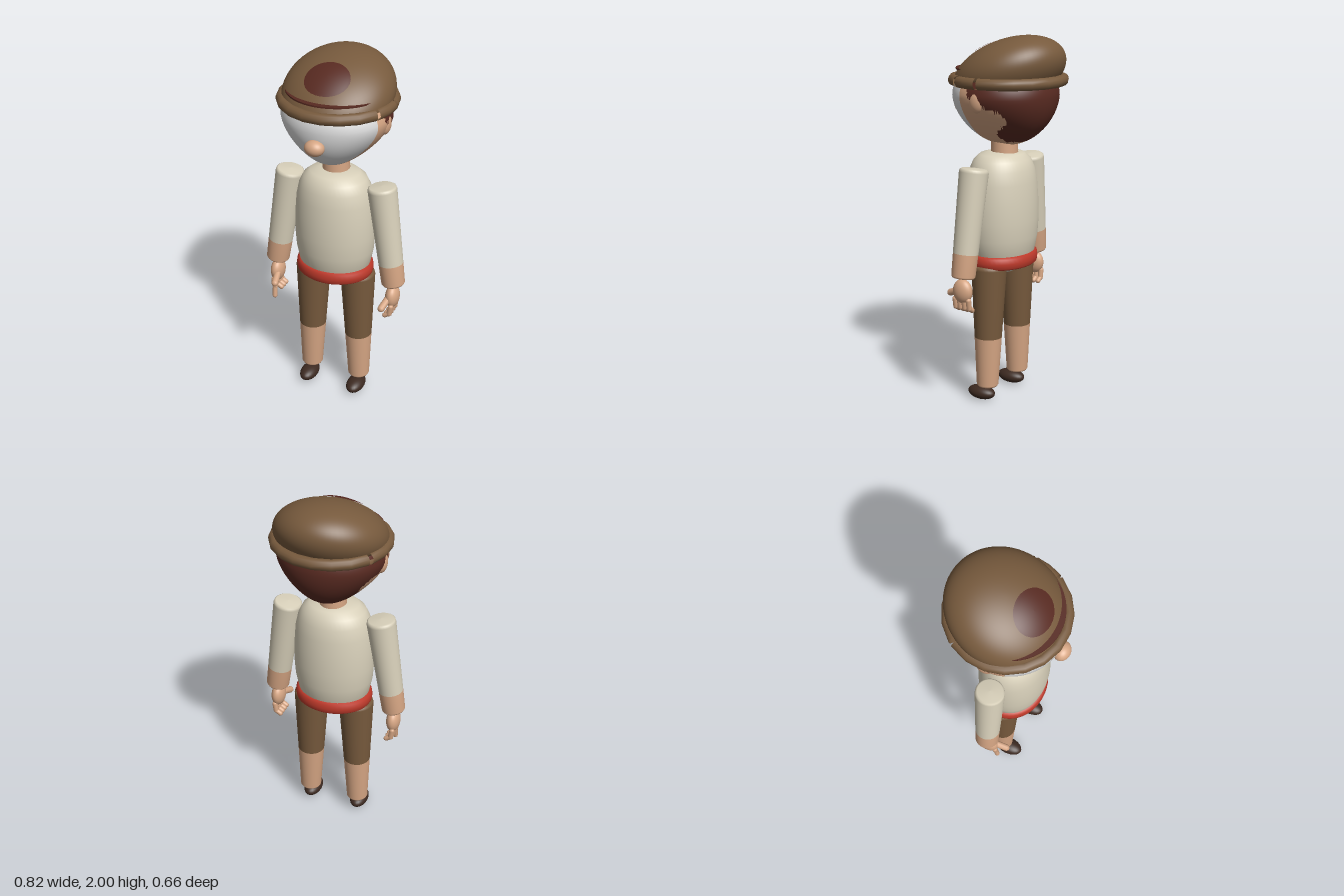
import * as THREE from 'three';
import { mergeVertices } from 'three/addons/utils/BufferGeometryUtils.js';

const mat = (name, color) => Object.assign(new THREE.MeshStandardMaterial({ color }), { name });
const V = (x, y, z) => new THREE.Vector3(x, y, z);

export function createModel() {
  const model = new THREE.Group();
  model.name = 'capWearer';
  const brown = mat('brownCloth', 0x775a3d);
  brown.side = THREE.DoubleSide;
  const skin = mat('skin', 0xd6a684);
  const cream = mat('creamShirt', 0xd8d0ba);
  const white = mat('whiteFace', 0xdcdcdc);
  const hair = mat('darkRedHair', 0x582a21);
  const red = mat('redBelt', 0xbf3a2b);
  const shoe = mat('darkShoe', 0x3d2a21);

  const add = (name, geo, material, parent = model) => {
    const m = new THREE.Mesh(geo, material);
    m.name = name;
    parent.add(m);
    return m;
  };
  const ball = (name, c, r, material, parent) => {
    const m = add(name, new THREE.SphereGeometry(1, 28, 20), material, parent);
    m.position.copy(c);
    m.scale.copy(r);
    return m;
  };
  // Places a y-aligned geometry midway between two points
  const span = (m, a, b) => {
    m.position.copy(a).lerp(b, 0.5);
    m.quaternion.setFromUnitVectors(V(0, 1, 0), b.clone().sub(a).normalize());
    return m;
  };
  const finger = (name, a, b, r, parent) =>
    span(add(name, new THREE.CapsuleGeometry(r, a.distanceTo(b), 5, 10), skin, parent), a, b);
  // Tapered limb in two colours, divided at fraction t from the top
  const limb = (names, top, end, rTop, rEnd, t, mats, parent) => {
    const cut = top.clone().lerp(end, t), rCut = THREE.MathUtils.lerp(rTop, rEnd, t);
    const h1 = top.distanceTo(cut) / 2, h2 = cut.distanceTo(end) / 2;
    const upper = [[rCut, -h1], [rTop, h1 - 0.02], [rTop * 0.96, h1 - 0.006], [rTop * 0.85, h1], [0, h1 + 0.004]];
    const lower = [[0, -h2], [rEnd * 0.9, -h2], [rEnd, -h2 + 0.01], [rCut, h2]];
    const lathe = (p) => new THREE.LatheGeometry(p.map(([x, y]) => new THREE.Vector2(x, y)), 32);
    span(add(names[0], lathe(upper), mats[0], parent), cut, top);
    span(add(names[1], lathe(lower), mats[1], parent), end, cut);
  };
  // Sphere whose points are moved by a rule, welded for smooth normals
  const warped = (geo, rule) => {
    geo.deleteAttribute('uv');
    geo.deleteAttribute('normal');
    const p = geo.attributes.position;
    for (let i = 0; i < p.count; i++) p.setXYZ(i, ...rule(p.getX(i), p.getY(i), p.getZ(i)));
    const g = mergeVertices(geo, 1e-5);
    g.computeVertexNormals();
    return g;
  };

  // Head: poles face front and back, jaw narrows in width only
  const headGeo = warped(new THREE.SphereGeometry(1, 64, 80).rotateX(Math.PI / 2), (x, y, z) => {
    const s = Math.max(0, -y);
    return [0.29 * x * (1 - 0.38 * s ** 1.3), 1.685 + (y > 0 ? 0.2 : 0.267) * y, 0.28 * z];
  });
  // Hairline as [height, depth]
  const hairline = [[1.447, -0.06], [1.485, -0.04], [1.517, -0.065], [1.555, -0.125], [1.58, -0.14],
    [1.62, -0.12], [1.64, -0.06], [1.7, 0.05], [2, 0.06]];
  const hairDepth = (y) => {
    const k = hairline.findIndex(([h]) => h > y);
    if (k < 1) return -1;
    const [a, b] = [hairline[k - 1], hairline[k]];
    return a[1] + (b[1] - a[1]) * (y - a[0]) / (b[0] - a[0]);
  };
  const faces = [[], [], []], pos = headGeo.attributes.position, idx = headGeo.index.array;
  for (let i = 0; i < idx.length; i += 3) {
    const t = [idx[i], idx[i + 1], idx[i + 2]];
    const y = t.reduce((s, v) => s + pos.getY(v), 0) / 3;
    const z = t.reduce((s, v) => s + pos.getZ(v), 0) / 3;
    faces[z > 0.107 ? 0 : z < hairDepth(y) ? 2 : 1].push(...t);
  }
  headGeo.setIndex(faces.flat());
  let start = 0;
  faces.forEach((f, i) => { headGeo.addGroup(start, f.length, i); start += f.length; });
  add('head', headGeo, [white, skin, hair]);
  ball('nose', V(0, 1.61, 0.283), V(0.053, 0.042, 0.044), skin);
  for (const s of [-1, 1]) ball('ear', V(s * 0.264, 1.675, 0), V(0.03, 0.06, 0.046), skin);
  const neck = add('neck', new THREE.CylinderGeometry(0.07, 0.075, 0.14, 32), skin);
  neck.position.set(0, 1.4, 0.01);

  // Cap: crown leaning back, rolled brim in three arcs, hair showing through
  const cap = new THREE.Group();
  cap.name = 'cap';
  model.add(cap);
  add('crown', warped(new THREE.SphereGeometry(1, 64, 48), (x, y, z) =>
    [0.293 * x, Math.max(1.775, 1.8 - 0.08 * z + 0.183 * y), -0.02 + 0.3 * z]), brown, cap);
  for (const [from, to] of [[29, 209], [213, 357], [0, 26]]) {
    const rad = Math.PI / 180, n = Math.ceil((to - from) / 18);
    const geo = new THREE.TorusGeometry(0.289, 0.03, 14, n, (to - from) * rad);
    geo.rotateZ(from * rad).rotateX(Math.PI / 2);
    add('brim', geo, brown, cap).position.set(0, 1.767, -0.015);
  }
  const rim = add('frontHairEdge', new THREE.CylinderGeometry(0.264, 0.264, 0.008, 48), hair, cap);
  rim.position.y = 1.825;
  const patch = warped(new THREE.RingGeometry(0.001, 1, 28, 10).rotateX(-Math.PI / 2), (x, y, z) => {
    const px = 0.12 * x, pz = 0.122 + 0.09 * z, Z = (pz + 0.02) / 0.3;
    const lift = 0.004 + 0.005 * (1 - x * x - z * z);
    return [px, 1.8 - 0.08 * Z + 0.183 * Math.sqrt(1 - Z * Z - (px / 0.293) ** 2) + lift, pz];
  });
  add('crownHairPatch', patch, hair, cap);

  // Torso and belt, both oval
  const oval = (name, pts, material) => {
    const m = add(name, new THREE.LatheGeometry(pts.map(([x, y]) => new THREE.Vector2(x, y)), 48), material);
    m.scale.z = 0.84;
    m.position.z = 0.025;
  };
  oval('torso', [[0, 0.715], [0.08, 0.722], [0.15, 0.755], [0.195, 0.82], [0.215, 0.92], [0.222, 1.02], [0.219, 1.12],
    [0.211, 1.22], [0.196, 1.29], [0.172, 1.34], [0.135, 1.37], [0.08, 1.383], [0, 1.386]], cream);
  oval('belt', [[0.18, 0.765], [0.2, 0.765], [0.212, 0.775], [0.216, 0.8], [0.212, 0.825], [0.2, 0.836], [0.18, 0.836], [0.18, 0.765]], red);

  for (const s of [-1, 1]) {
    const side = s > 0 ? 'left' : 'right';
    // Arm
    const arm = new THREE.Group();
    arm.name = side + 'Arm';
    model.add(arm);
    limb(['sleeve', 'forearm'], V(s * 0.262, 1.325, 0.02), V(s * 0.346, 0.755, 0.035),
      0.078, 0.064, 0.775, [cream, skin], arm);
    // Hand
    const hand = new THREE.Group();
    hand.name = side + 'Hand';
    model.add(hand);
    ball('palm', V(s * 0.345, 0.68, 0.04), V(0.038, 0.066, 0.058), skin, hand);
    for (let i = 0; i < 4; i++) {
      const z = 0.085 - i * 0.029;
      const pointing = s < 0 && i === 0;
      const knuckle = V(s * 0.352, 0.635, z), mid = V(s * 0.345, 0.59, z);
      finger('finger', knuckle, mid, 0.015, hand);
      finger('fingertip', mid, pointing ? V(s * 0.343, 0.535, z + 0.01) : V(s * 0.32, 0.575, z), 0.014, hand);
    }
    finger('thumb', V(s * 0.33, 0.675, 0.08), V(s * 0.318, 0.65, 0.14), 0.019, hand);
    // Leg
    const leg = new THREE.Group();
    leg.name = side + 'Leg';
    model.add(leg);
    limb(['trouserLeg', 'shin'], V(s * 0.132, 0.78, 0.02), V(s * 0.146, 0.088, 0.024),
      0.096, 0.06, 0.59, [brown, skin], leg);
    ball(side + 'Shoe', V(s * 0.146, 0.038, 0.065), V(0.05, 0.038, 0.084), shoe);
  }
  return model;
}
